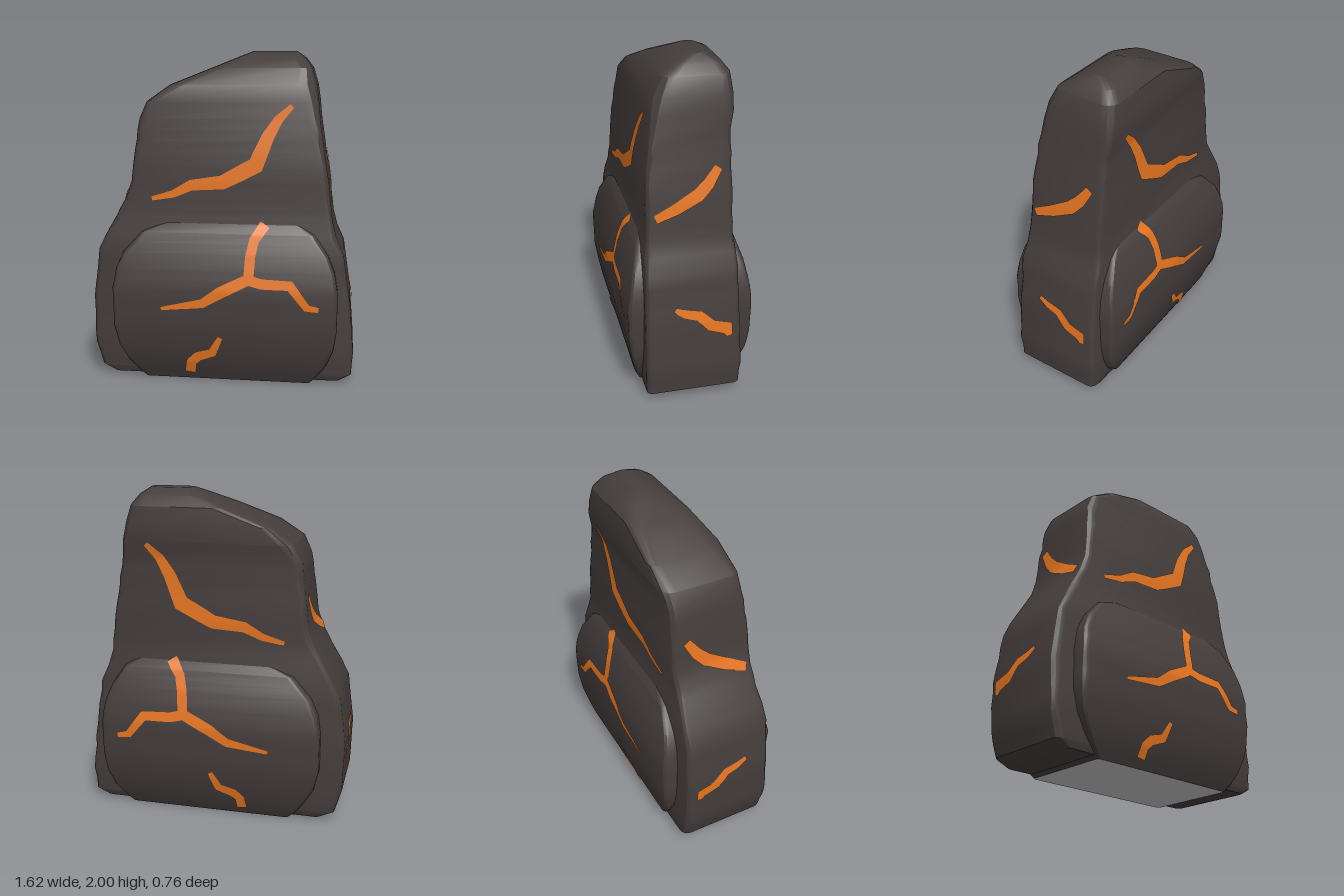
import * as THREE from 'three';
import { toCreasedNormals } from 'three/addons/utils/BufferGeometryUtils.js';

const stone = new THREE.MeshStandardMaterial({ name: 'dark stone', color: 0x443d3c });
const lava = new THREE.MeshStandardMaterial({ name: 'glowing orange', color: 0xe87722, side: THREE.DoubleSide });
const underside = new THREE.MeshStandardMaterial({ name: 'pale grey', color: 0xc4c4c4 });

// Section rows, bottom to top: y, min x, max x, back z, front z, corner radius
const BODY = [
  [0.02, -0.68, 0.72, -0.27, 0.27, 0.03],
  [0.06, -0.76, 0.79, -0.285, 0.28, 0.04],
  [0.20, -0.80, 0.80, -0.29, 0.285, 0.04],
  [0.50, -0.81, 0.775, -0.285, 0.28, 0.04],
  [0.80, -0.77, 0.73, -0.275, 0.275, 0.04],
  [0.90, -0.72, 0.685, -0.27, 0.27, 0.04],
  [1.00, -0.665, 0.66, -0.26, 0.255, 0.04],
  [1.12, -0.60, 0.645, -0.255, 0.25, 0.04],
  [1.22, -0.565, 0.635, -0.26, 0.25, 0.04],
  [1.40, -0.545, 0.605, -0.255, 0.24, 0.04],
  [1.60, -0.52, 0.575, -0.255, 0.215, 0.05],
  [1.70, -0.475, 0.565, -0.275, 0.205, 0.06],
  [1.80, -0.34, 0.55, -0.28, 0.19, 0.08],
  [1.90, -0.09, 0.52, -0.265, 0.13, 0.09],
  [1.96, 0.05, 0.475, -0.215, 0.05, 0.07],
  [2.00, 0.15, 0.42, -0.14, -0.04, 0.04]
];
const SLAB = [
  [0.00, -0.48, 0.54, -0.28, 0.28, 0.02],
  [0.05, -0.53, 0.59, -0.305, 0.30, 0.03],
  [0.12, -0.58, 0.64, -0.325, 0.325, 0.03],
  [0.22, -0.635, 0.68, -0.35, 0.345, 0.03],
  [0.35, -0.665, 0.70, -0.37, 0.365, 0.03],
  [0.58, -0.665, 0.70, -0.375, 0.37, 0.03],
  [0.70, -0.645, 0.68, -0.355, 0.35, 0.03],
  [0.80, -0.60, 0.64, -0.335, 0.33, 0.03],
  [0.92, -0.49, 0.56, -0.295, 0.295, 0.03],
  [0.98, -0.34, 0.46, -0.255, 0.255, 0.02]
];

// Linear interpolation of a section table at height y
function sectionAt(rows, y) {
  let i = 0;
  while (i < rows.length - 2 && y > rows[i + 1][0]) i++;
  const t = THREE.MathUtils.clamp((y - rows[i][0]) / (rows[i + 1][0] - rows[i][0]), 0, 1);
  return rows[i].map((v, k) => v + (rows[i + 1][k] - v) * t);
}

function seeded(seed) {
  return () => (seed = (seed * 16807) % 2147483647) / 2147483647;
}

// Rounded rectangle ring with slightly chipped corners
function ring([y, x0, x1, z0, z1, r], rand) {
  const pts = [];
  const corners = [[x1, z1, -1, -1], [x0, z1, 1, -1], [x0, z0, 1, 1], [x1, z0, -1, 1]];
  corners.forEach(([x, z, sx, sz], q) => {
    const c = r * (0.75 + 0.6 * rand());
    for (let k = 0; k <= 3; k++) {
      const a = (q + k / 3) * Math.PI / 2;
      pts.push(new THREE.Vector3(x + sx * c + c * Math.cos(a), y, z + sz * c + c * Math.sin(a)));
    }
  });
  return pts;
}

function fan(pts, up) {
  const out = [];
  for (let j = 1; j < pts.length - 1; j++) {
    out.push(pts[0], ...(up ? [pts[j + 1], pts[j]] : [pts[j], pts[j + 1]]));
  }
  return out;
}

// Rock lofted through a section table; returns its side-and-top and its base
function loft(rows, seed) {
  const rand = seeded(seed);
  const rings = [];
  rows.forEach((row, i) => {
    rings.push(ring(row, rand));
    if (i === rows.length - 1) return;
    const gap = rows[i + 1][0] - row[0];
    const n = Math.max(1, Math.round(gap / 0.08));
    for (let k = 1; k < n; k++) rings.push(ring(sectionAt(rows, row[0] + gap * k / n), rand));
  });
  const tris = [];
  for (let i = 0; i < rings.length - 1; i++) {
    const a = rings[i], b = rings[i + 1], n = a.length;
    for (let j = 0; j < n; j++) {
      const k = (j + 1) % n;
      tris.push(a[j], b[j], a[k], a[k], b[j], b[k]);
    }
  }
  tris.push(...fan(rings[rings.length - 1], true));
  const build = (p) => toCreasedNormals(new THREE.BufferGeometry().setFromPoints(p), 0.45);
  return { shell: build(tris), base: build(fan(rings[0], false)) };
}

// Crack paths: across (x or z), height, width
const UPPER_CRACK = [[-0.43, 1.12, 0.025], [-0.3, 1.15, 0.045], [-0.19, 1.205, 0.065], [0, 1.225, 0.085],
  [0.2, 1.33, 0.1], [0.27, 1.5, 0.075], [0.33, 1.6, 0.055], [0.41, 1.68, 0.03]];
const SLAB_CRACKS = [
  [[-0.36, 0.465, 0.02], [-0.11, 0.505, 0.055], [0, 0.575, 0.07], [0.17, 0.66, 0.07],
    [0.18, 0.8, 0.06], [0.2, 0.89, 0.06], [0.26, 0.978, 0.065]],
  [[0.15, 0.66, 0.06], [0.25, 0.635, 0.06], [0.42, 0.63, 0.06], [0.52, 0.5, 0.045], [0.59, 0.49, 0.03]],
  [[0, 0.29, 0.03], [-0.05, 0.19, 0.055], [-0.14, 0.16, 0.06], [-0.18, 0.12, 0.06], [-0.19, 0.05, 0.06]]
];
const SIDE_CRACKS = [
  [[0.2, 1.13, 0.05], [0.08, 1.18, 0.07], [-0.05, 1.25, 0.08], [-0.11, 1.31, 0.07], [-0.17, 1.4, 0.05]],
  [[0.11, 0.6, 0.03], [0.05, 0.57, 0.05], [-0.03, 0.55, 0.06], [-0.1, 0.48, 0.07],
    [-0.2, 0.45, 0.08], [-0.21, 0.4, 0.03]]
];

// Thin ribbon that follows a rock face; place(u, y) gives the surface point
function crack(path, place) {
  const pts = [], index = [], steps = 6, across = 3;
  const dirs = path.map((p, i) => {
    const a = path[Math.max(0, i - 1)], b = path[Math.min(path.length - 1, i + 1)];
    return new THREE.Vector2(b[0] - a[0], b[1] - a[1]).normalize();
  });
  const rows = (path.length - 1) * steps;
  for (let s = 0; s <= rows; s++) {
    const i = Math.min(Math.floor(s / steps), path.length - 2), t = s / steps - i;
    const [u, y, w] = path[i].map((v, k) => v + (path[i + 1][k] - v) * t);
    const d = dirs[i].clone().lerp(dirs[i + 1], t).normalize();
    for (let k = 0; k <= across; k++) {
      const o = w * (k / across - 0.5);
      pts.push(place(u - d.y * o, y + d.x * o));
      if (s < rows && k < across) {
        const a = s * (across + 1) + k, b = a + across + 1;
        index.push(a, a + 1, b, b, a + 1, b + 1);
      }
    }
  }
  // Wind the ribbon so its front faces away from the rock
  const n = new THREE.Triangle(pts[index[0]], pts[index[1]], pts[index[2]]).getNormal(new THREE.Vector3());
  const out = place(0, 0.6, 1).sub(place(0, 0.6, 0));
  if (n.dot(out) < 0) index.reverse();
  const g = new THREE.BufferGeometry().setFromPoints(pts);
  g.setIndex(index);
  g.computeVertexNormals();
  return g;
}

const LIFT = 0.007;
const onFace = (rows, side) => (u, y, lift = LIFT) =>
  new THREE.Vector3(u, y, sectionAt(rows, y)[side > 0 ? 4 : 3] + side * lift);
const onFlank = (rows, side) => (u, y, lift = LIFT) =>
  new THREE.Vector3(sectionAt(rows, y)[side > 0 ? 2 : 1] + side * lift, y, u);

export function createModel() {
  const model = new THREE.Group();
  model.name = 'crackedRock';
  const add = (name, geometry, material) => {
    const mesh = new THREE.Mesh(geometry, material);
    mesh.name = name;
    model.add(mesh);
  };

  // Tall boulder and the bulging slab running through its lower half
  const body = loft(BODY, 17);
  add('boulder', body.shell, stone);
  add('boulderBase', body.base, stone);
  const slab = loft(SLAB, 91);
  add('bulgingSlab', slab.shell, stone);
  add('slabUnderside', slab.base, underside);

  // Glowing cracks on all four faces
  for (const side of [1, -1]) {
    const face = side > 0 ? 'front' : 'back', flank = side > 0 ? 'left' : 'right';
    add(face + 'UpperCrack', crack(UPPER_CRACK, onFace(BODY, side)), lava);
    SLAB_CRACKS.forEach((p, i) => add(face + 'SlabCrack' + (i + 1), crack(p, onFace(SLAB, side)), lava));
    SIDE_CRACKS.forEach((p, i) => add(flank + 'SideCrack' + (i + 1), crack(p, onFlank(BODY, side)), lava));
  }
  return model;
}
